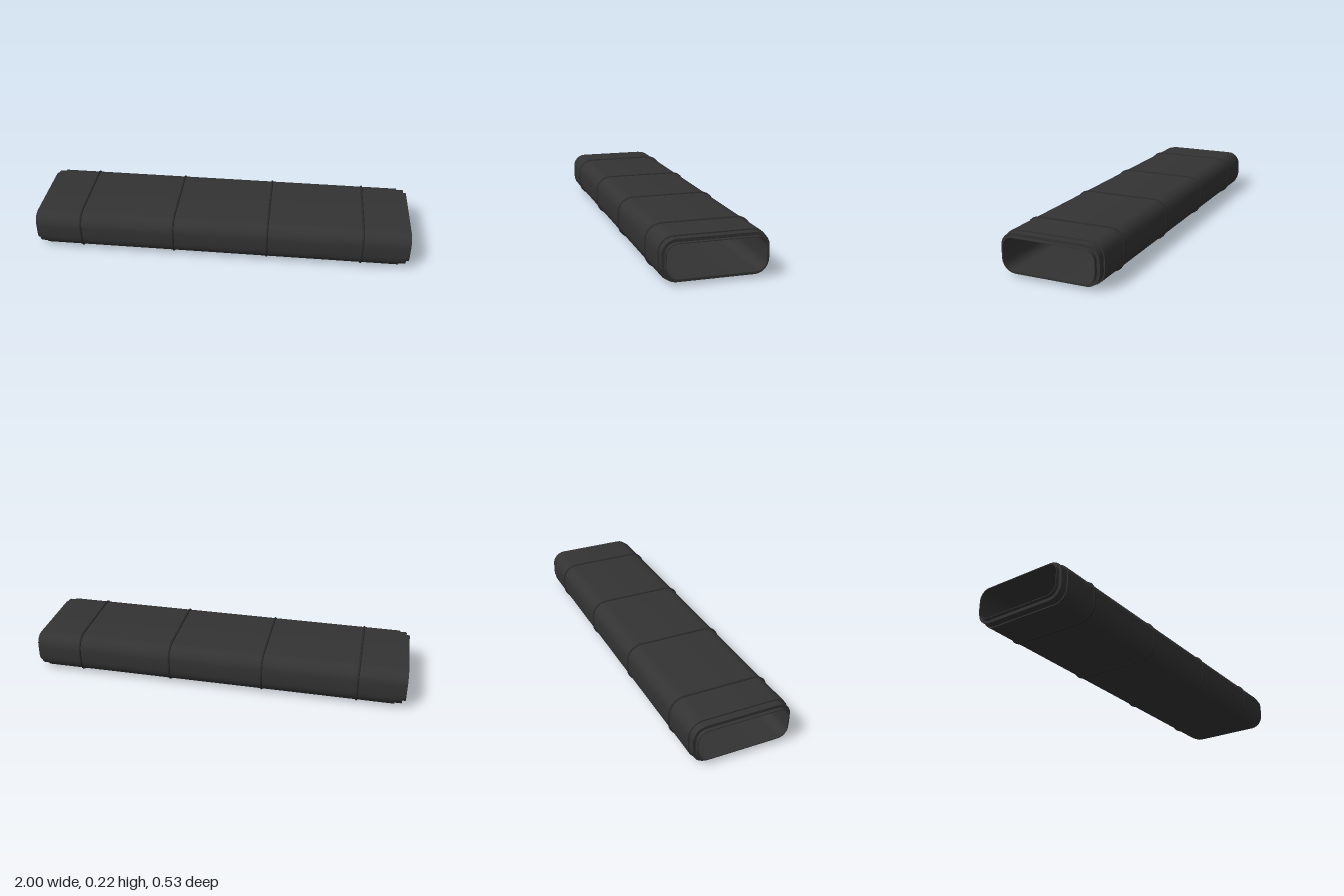
import * as THREE from 'three';
import { toCreasedNormals } from 'three/addons/utils/BufferGeometryUtils.js';

const CORNER_Z = 0.185, CORNER_Y = 0.03, MID_Y = 0.111, SEGMENTS = 6;

// Sweeps a profile of [x, radius] points around a rounded rectangle.
function sweep(profile) {
  const corners = [[1, 1], [-1, 1], [-1, -1], [1, -1]];
  const positions = [], indices = [];
  const loop = corners.length * (SEGMENTS + 1);
  for (const [x, r] of profile) {
    corners.forEach(([sz, sy], c) => {
      for (let k = 0; k <= SEGMENTS; k++) {
        const a = (c + k / SEGMENTS) * Math.PI / 2;
        positions.push(x, MID_Y + sy * CORNER_Y + r * Math.sin(a), sz * CORNER_Z + r * Math.cos(a));
      }
    });
  }
  for (let i = 0; i < profile.length - 1; i++) {
    for (let j = 0; j < loop; j++) {
      const n = (j + 1) % loop;
      const a = i * loop + j, b = a + loop, c = (i + 1) * loop + n, d = i * loop + n;
      indices.push(a, b, c, a, c, d);
    }
  }
  const geometry = new THREE.BufferGeometry();
  geometry.setAttribute('position', new THREE.Float32BufferAttribute(positions, 3));
  geometry.setIndex(indices);
  return toCreasedNormals(geometry, 0.6);
}

export function createModel() {
  const group = new THREE.Group();
  const add = (name, profile, color) => {
    const mesh = new THREE.Mesh(sweep(profile), new THREE.MeshStandardMaterial({ color }));
    mesh.name = name;
    group.add(mesh);
    return mesh;
  };

  // Hollow sleeve: stepped outside with a thin lip at each end, open bore inside
  const rightHalf = [[0.945, 0.075], [0.945, 0.069], [0.982, 0.069], [0.982, 0.054], [1, 0.054], [1, 0.05]];
  const leftHalf = rightHalf.map(([x, r]) => [-x, r]).reverse();
  add('sleeve', [...leftHalf, ...rightHalf, leftHalf[0]], 0x333333);

  // Raised bands around the sleeve
  for (const x of [-0.75, -0.25, 0.25, 0.75]) {
    const bead = [];
    for (let i = 0; i <= 6; i++) {
      const a = Math.PI * (1 - i / 6);
      bead.push([0.006 * Math.cos(a), 0.075 + 0.006 * Math.sin(a)]);
    }
    add('band', bead, 0x2a2a2a).position.x = x;
  }
  return group;
}
